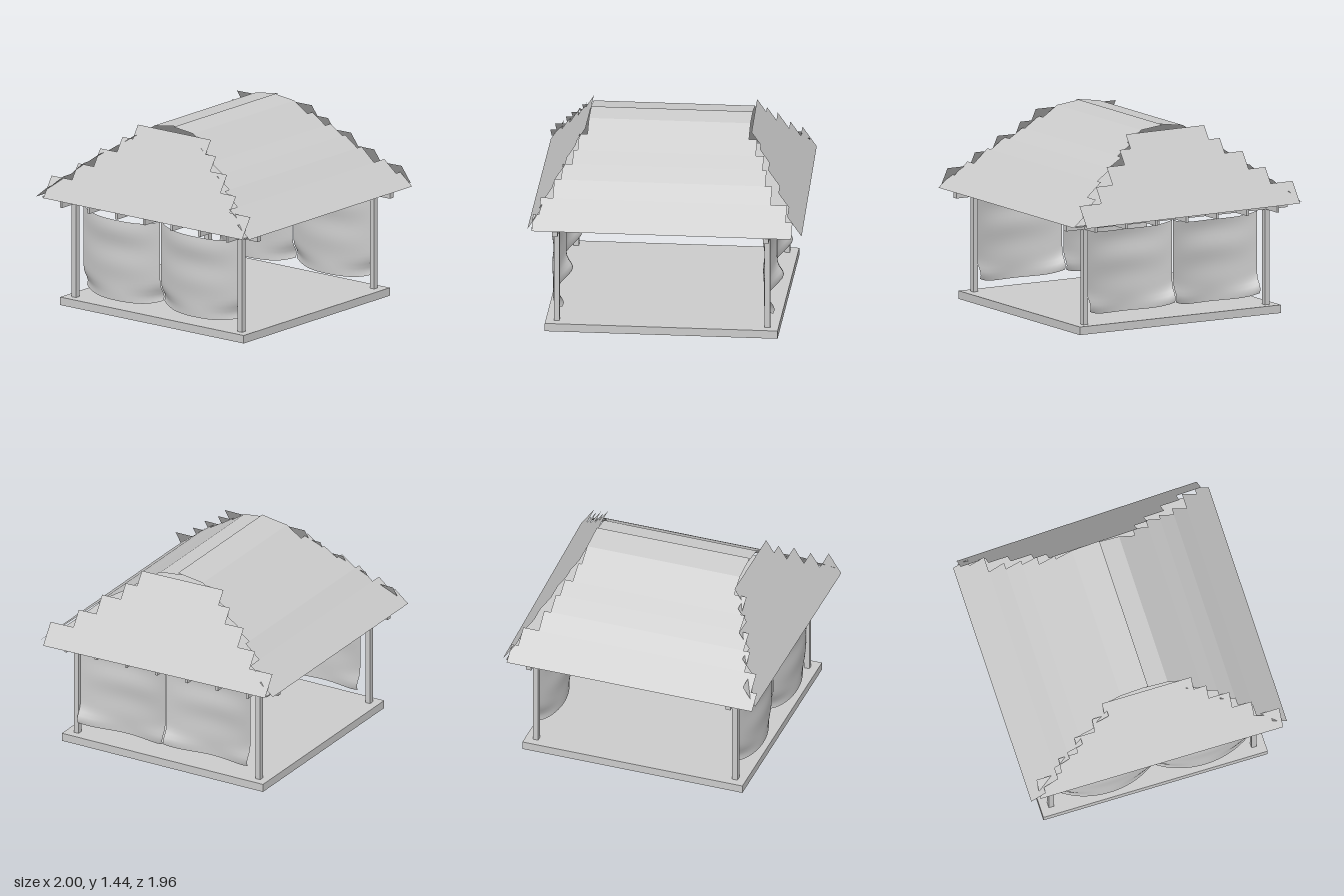
import * as THREE from 'three';

const material = new THREE.MeshStandardMaterial({ color: 0xcccccc });
const sheetMaterial = new THREE.MeshStandardMaterial({ color: 0xcccccc, side: THREE.DoubleSide, flatShading: true });
const clothMaterial = new THREE.MeshStandardMaterial({ color: 0xcccccc, side: THREE.DoubleSide });

// Box given by its minimum and maximum corners
function box(name, x0, x1, y0, y1, z0, z1) {
  const mesh = new THREE.Mesh(new THREE.BoxGeometry(x1 - x0, y1 - y0, z1 - z0), material);
  mesh.name = name;
  mesh.position.set((x0 + x1) / 2, (y0 + y1) / 2, (z0 + z1) / 2);
  return mesh;
}

// Thin roof sheet made of stepped courses; each course is a list of four corners
function sheet(name, courses) {
  const points = [];
  for (const [a, b, c, d] of courses) points.push(...a, ...b, ...c, ...a, ...c, ...d);
  const geometry = new THREE.BufferGeometry();
  geometry.setAttribute('position', new THREE.Float32BufferAttribute(points, 3));
  geometry.computeVertexNormals();
  const mesh = new THREE.Mesh(geometry, sheetMaterial);
  mesh.name = name;
  return mesh;
}

// Front and back slopes: section points [z, y] from eave to top, and x range of each course
const section = [[0.98, 0.82], [0.87, 0.91], [0.76, 1.0], [0.645, 1.1], [0.53, 1.18], [0.42, 1.25], [0.3, 1.33], [0.18, 1.41], [0, 1.43]];
const ranges = [[-0.965, 0.93], [-0.92, 0.88], [-0.83, 0.76], [-0.78, 0.71], [-0.71, 0.68], [-0.68, 0.62], [-0.62, 0.56], [-0.62, 0.56]];

function slope(name, dir, shift) {
  return sheet(name, ranges.map(([x0, x1], i) => {
    const [z0, y0] = section[i];
    let [z1, y1] = section[i + 1];
    // the last course of the back slope laps over the ridge
    if (dir < 0 && i === ranges.length - 1) [z1, y1] = [-0.03, 1.44];
    const s = i < 6 ? shift : 0;
    return [[x0 + s, y0, dir * z0], [x1 + s, y0, dir * z0], [x1 + s, y1, dir * z1], [x0 + s, y1, dir * z1]];
  }));
}

// Side slopes: [bottom, top, half length] of each course
const sideCourses = [[0.82, 0.97, 0.925], [0.97, 1.08, 0.735], [1.08, 1.2, 0.59], [1.2, 1.3, 0.435], [1.3, 1.395, 0.34]];

function sideSlope(name, eaveX, topX, shift, skew) {
  const point = (y, z) => [THREE.MathUtils.mapLinear(y, 0.82, 1.395, eaveX, topX) + skew * z, y, z];
  return sheet(name, sideCourses.map(([y0, y1, h]) => [
    point(y0, h + shift), point(y0, shift - h), point(y1, shift - h), point(y1, h + shift)]));
}

// Hanging cloth: sagging top and bottom, bellied across its middle
function curtain(zA, zB, postX) {
  const geometry = new THREE.PlaneGeometry(1, 1, 20, 20);
  const p = geometry.attributes.position;
  for (let i = 0; i < p.count; i++) {
    const u = p.getX(i) * 2, v = p.getY(i) + 0.5;
    const belly = 1 - u * u;
    const y = THREE.MathUtils.lerp(0.155, 0.76, v) - 0.04 * (1 - u ** 4);
    const edge = 0.05 * Math.exp(-(((v - 0.05) / 0.1) ** 2));
    const middle = -0.06 - 0.01 * Math.sin(v * 14 - 4.4) * v;
    p.setXYZ(i, postX + THREE.MathUtils.lerp(edge, middle, belly), y, THREE.MathUtils.lerp(zA, zB, (u + 1) / 2));
  }
  geometry.computeVertexNormals();
  const mesh = new THREE.Mesh(geometry, clothMaterial);
  mesh.name = 'curtain';
  return mesh;
}

export function createModel() {
  const model = new THREE.Group();
  model.name = 'pavilion';
  model.add(box('floor', -0.88, 0.82, 0, 0.06, -0.85, 0.86));

  // Posts, long beams and curtains on both sides
  for (const x of [-0.8, 0.74]) {
    for (const z of [-0.77, 0.775]) model.add(box('post', x - 0.02, x + 0.02, 0.06, 0.815, z - 0.02, z + 0.02));
    model.add(box('sideBeam', x - 0.02, x + 0.02, 0.765, 0.82, -0.94, 0.94));
    model.add(curtain(0.75, 0.027, x), curtain(0.018, -0.695, x));
  }

  // Joists across the width, and the ceiling above them
  for (let i = 0; i < 7; i++) {
    const z = -0.77 + i * 0.2575;
    model.add(box('joist', -0.97, 0.91, 0.765, 0.82, z - 0.01, z + 0.01));
  }
  model.add(box('ceiling', -0.97, 0.91, 0.815, 0.825, -0.94, 0.94));

  // Roof sheets
  const roof = new THREE.Group();
  roof.name = 'roof';
  roof.add(
    slope('frontSlope', 1, 0),
    slope('backSlope', -1, -0.035),
    sideSlope('leftSlope', 0.97, 0.57, -0.015, 0.033),
    sideSlope('rightSlope', -1, -0.63, 0.015, 0),
  );
  model.add(roof);
  return model;
}
